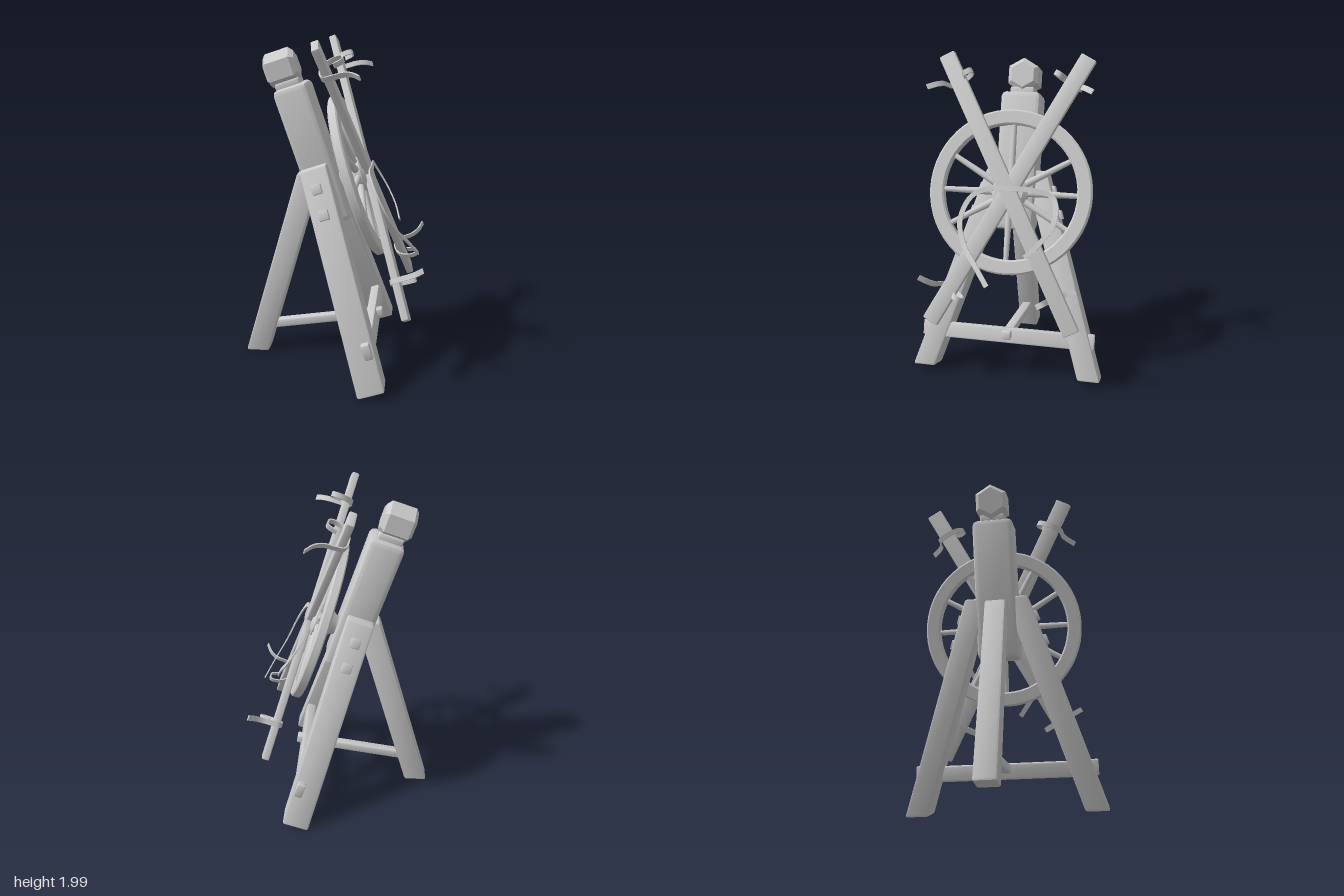
import * as THREE from 'three';
import { toCreasedNormals } from 'three/addons/utils/BufferGeometryUtils.js';
import { RoundedBoxGeometry } from 'three/addons/geometries/RoundedBoxGeometry.js';

const mat = new THREE.MeshStandardMaterial({ color: 0xcccccc });
const strapMat = new THREE.MeshStandardMaterial({ color: 0xcccccc, side: THREE.DoubleSide });
const V = (x, y, z) => new THREE.Vector3(x, y, z);

function add(parent, name, geo, x = 0, y = 0, z = 0, material = mat) {
  const m = new THREE.Mesh(geo, material);
  m.name = name;
  m.position.set(x, y, z);
  parent.add(m);
  return m;
}

// Timber block with chamfered edges
const block = (w, h, d, r = 0.01) =>
  toCreasedNormals(new RoundedBoxGeometry(w, h, d, 1, Math.min(r, w / 4, h / 4, d / 4)), 0.5);

// Upright timber sheared from p to q, so that its ends stay level
function slantedBeam(w, d, p, q) {
  const h = q.y - p.y;
  const g = new RoundedBoxGeometry(w, h, d, 1, 0.012);
  const pos = g.attributes.position;
  for (let i = 0; i < pos.count; i++) {
    const t = pos.getY(i) / h + 0.5;
    pos.setXYZ(i, pos.getX(i) + p.x + (q.x - p.x) * t, p.y + h * t, pos.getZ(i) + p.z + (q.z - p.z) * t);
  }
  return toCreasedNormals(g, 0.5);
}

// Turned part from [radius, height] pairs, with its axis laid along x
function turned(profile, segments, crease = 0.6) {
  const g = new THREE.LatheGeometry(profile.map(([r, y]) => new THREE.Vector2(r, y)), segments);
  return toCreasedNormals(g, crease).rotateZ(-Math.PI / 2);
}

// Flat strap swept along a curve; sideOf(tangent) gives the width direction
function strap(points, width, thick, steps, sideOf) {
  const curve = new THREE.CatmullRomCurve3(points);
  const verts = [], index = [];
  for (let i = 0; i <= steps; i++) {
    const p = curve.getPoint(i / steps), t = curve.getTangent(i / steps);
    const side = sideOf(t).normalize();
    const n = t.clone().cross(side).normalize();
    for (const [a, b] of [[1, 1], [-1, 1], [-1, -1], [1, -1]]) {
      const c = p.clone().addScaledVector(side, a * width / 2).addScaledVector(n, b * thick / 2);
      verts.push(c.x, c.y, c.z);
    }
    if (i === steps) continue;
    for (let j = 0; j < 4; j++) {
      const a = i * 4 + j, b = i * 4 + (j + 1) % 4;
      index.push(a, b, b + 4, a, b + 4, a + 4);
    }
  }
  const e = steps * 4;
  index.push(0, 2, 1, 0, 3, 2, e, e + 1, e + 2, e, e + 2, e + 3);
  const g = new THREE.BufferGeometry();
  g.setAttribute('position', new THREE.Float32BufferAttribute(verts, 3));
  g.setIndex(index);
  return toCreasedNormals(g, 0.6);
}

export function createModel() {
  const root = new THREE.Group();
  root.name = 'wheelRack';

  // Whole stand is turned about y; local x points to its front
  const stand = new THREE.Group();
  stand.name = 'stand';
  stand.position.set(0.017, 0, 0.061);
  stand.rotation.y = 0.27;
  root.add(stand);

  // Leaning frame: y runs up the post, x out of the wheel face
  const lean = new THREE.Group();
  lean.name = 'leaningFrame';
  lean.position.x = 0.22;
  lean.rotation.z = 0.323;
  stand.add(lean);

  // Post and its six-sided head
  add(lean, 'post', block(0.21, 0.86, 0.25, 0.03), 0.035, 1.375, 0);
  const head = add(lean, 'postHead', turned(
    [[0, -0.095], [0.085, -0.095], [0.108, -0.075], [0.108, 0.07], [0.08, 0.095], [0, 0.095]], 6, 0.2), 0.015, 1.915, 0);
  head.rotation.x = Math.PI / 2;
  add(lean, 'headNeck', block(0.15, 0.06, 0.15), 0.025, 1.81, 0);

  // Splayed front legs with pegs and crossbar tenons
  for (const s of [1, -1]) {
    add(lean, 'frontLeg', slantedBeam(0.165, 0.14, V(0, 0.037, 0.53 * s), V(0.026, 1.32, 0.12 * s)));
    for (const v of [1.2, 1.05]) {
      const peg = add(lean, 'legPeg', block(0.06, 0.06, 0.05, 0.006), 0.02, v, s * (0.185 + (1.32 - v) * 0.32));
      peg.rotation.x = -0.31 * s;
    }
    add(lean, 'crossbarTenon', block(0.05, 0.095, 0.08, 0.006), 0.05, 0.28, s * 0.51);
  }
  add(lean, 'crossbar', block(0.06, 0.095, 1.0), 0.05, 0.275, 0);

  // Back leg and the stretcher that joins it to the crossbar
  add(stand, 'backLeg', slantedBeam(0.145, 0.125, V(-0.567, 0.012, 0), V(-0.215, 1.2, 0)));
  const stretcher = add(stand, 'stretcher', block(0.78, 0.055, 0.06), -0.145, 0.238, 0);
  stretcher.rotation.z = 0.155;

  // Spoked wheel
  const wheel = new THREE.Group();
  wheel.name = 'wheel';
  wheel.position.set(0.25, 1.17, 0);
  lean.add(wheel);
  add(wheel, 'rim', turned([[0.41, -0.02], [0.42, -0.028], [0.49, -0.028], [0.5, -0.02], [0.5, 0.02],
    [0.49, 0.028], [0.42, 0.028], [0.41, 0.02], [0.41, -0.02]], 56));
  add(wheel, 'hub', turned([[0, -0.13], [0.055, -0.13], [0.065, -0.09], [0.1, -0.05], [0.11, -0.03],
    [0.11, 0.025], [0.085, 0.045], [0, 0.045]], 24));
  for (let i = 0; i < 12; i++) {
    const a = (i / 12) * Math.PI * 2;
    const spoke = add(wheel, 'spoke', new THREE.CylinderGeometry(0.016, 0.022, 0.35, 10),
      0, 0.26 * Math.cos(a), 0.26 * Math.sin(a));
    spoke.rotation.x = a;
  }

  // Crossed arms, each end carrying an open strap
  const cross = new THREE.Group();
  cross.name = 'crossedArms';
  cross.position.set(0.307, 1.17, 0);
  lean.add(cross);
  const tilt = 0.49;
  const hook = [[-0.045, 0.045], [-0.07, 0.1], [-0.105, 0.095], [-0.105, 0.04], [-0.065, -0.015], [0, -0.034],
    [0.055, -0.02], [0.066, 0.03], [0.072, 0.09], [0.1, 0.14], [0.155, 0.18]];
  for (const s of [1, -1]) {
    const arm = add(cross, 'arm', block(0.045, 1.84, 0.1, 0.008), 0.001 * s, 0, 0);
    arm.rotation.x = tilt * s;
    for (const up of [1, -1]) {
      const end = new THREE.Group();
      end.name = 'armEnd';
      end.rotation.x = s * (up > 0 ? tilt : Math.PI - tilt);
      cross.add(end);
      add(end, 'limbStrap', strap(hook.map(([b, w]) => V(w, 0, b * s * up)), 0.032, 0.008, 40, () => V(0, 1, 0)),
        0, up > 0 ? 0.74 : 0.69, 0, strapMat);
    }
  }

  // Long strap draped over the middle of the cross, both ends hanging
  const facing = V(0.914, 0.317, -0.253);
  add(root, 'waistStrap', strap([V(0.47, 0.72, 0), V(0.43, 0.82, 0.1), V(0.385, 0.92, 0.2), V(0.33, 1.05, 0.255),
    V(0.25, 1.18, 0.22), V(0.2, 1.225, 0.13), V(0.175, 1.235, 0.02), V(0.13, 1.23, -0.13), V(0.1, 1.19, -0.25),
    V(0.17, 1.06, -0.285), V(0.25, 0.95, -0.23), V(0.3, 0.87, -0.16)], 0.03, 0.008, 64,
    (t) => t.clone().cross(facing)), 0, 0, 0, strapMat);

  return root;
}
